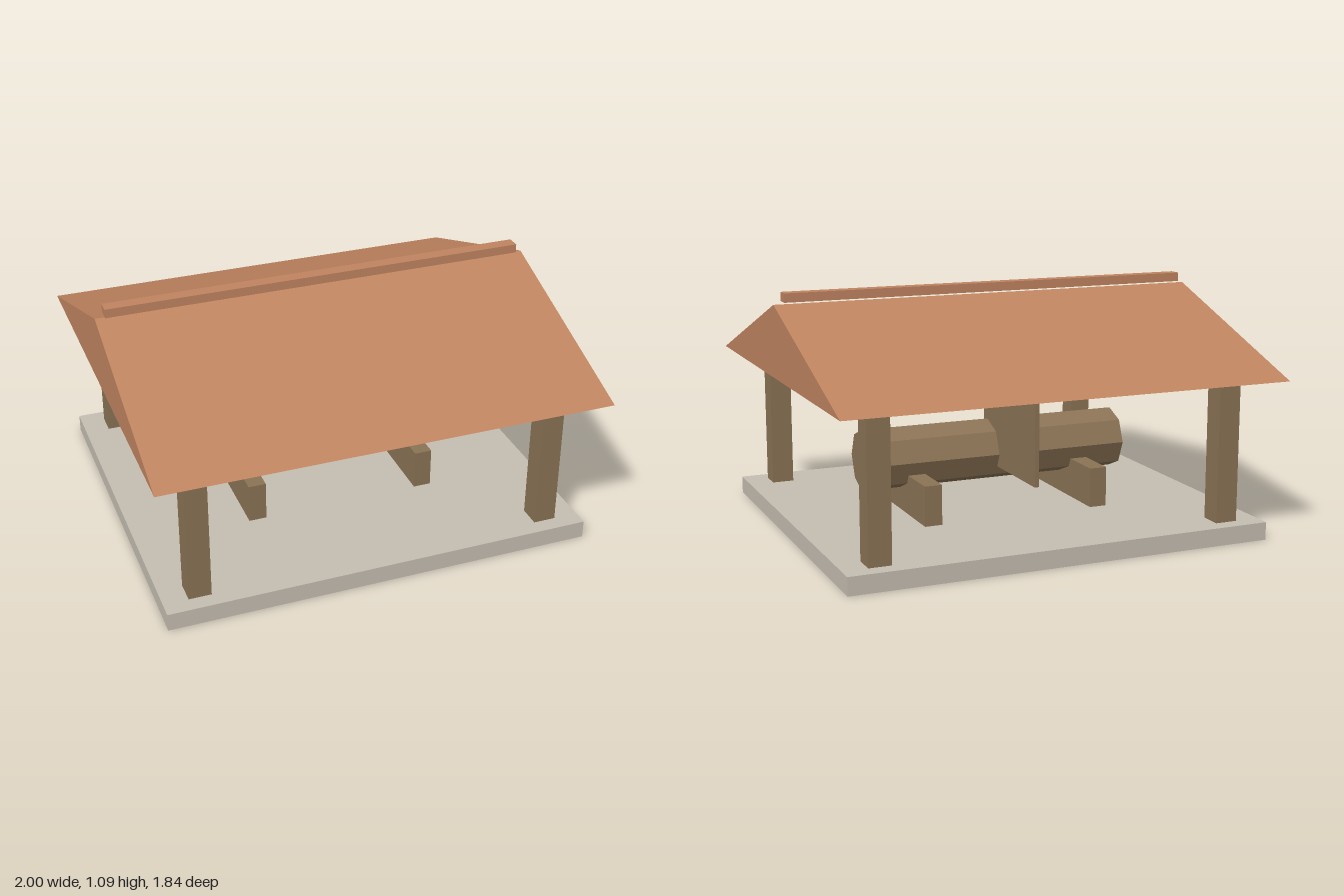
import * as THREE from 'three';

export function createModel() {
  const model = new THREE.Group();
  model.name = 'logShelter';

  const stone = new THREE.MeshStandardMaterial({ name: 'paleStone', color: 0xc5beb2, flatShading: true });
  const wood = new THREE.MeshStandardMaterial({ name: 'brownWood', color: 0x8b7355, flatShading: true });
  const tile = new THREE.MeshStandardMaterial({
    name: 'terracotta', color: 0xc08460, flatShading: true, side: THREE.DoubleSide,
  });

  const add = (name, geometry, material, x = 0, y = 0, z = 0) => {
    const mesh = new THREE.Mesh(geometry, material);
    mesh.name = name;
    mesh.position.set(x, y, z);
    model.add(mesh);
    return mesh;
  };
  const box = (name, material, w, h, d, x, bottom, z) =>
    add(name, new THREE.BoxGeometry(w, h, d), material, x, bottom + h / 2, z);

  // Floor slab
  box('floorSlab', stone, 1.92, 0.08, 1.68, 0, 0, 0);

  // Corner posts, running through the slab
  for (const x of [-0.8, 0.8]) {
    for (const z of [-0.72, 0.72]) box('cornerPost', wood, 0.1, 0.72, 0.1, x, 0, z);
  }

  // Eight-sided log lying along x, an edge pointing straight up
  const log = new THREE.CylinderGeometry(0.14, 0.14, 1.24, 8);
  log.rotateZ(Math.PI / 2);
  add('log', log, wood, 0, 0.32, 0);

  // Bearers under the log
  for (const x of [-0.4, 0.4]) box('logBearer', wood, 0.08, 0.18, 0.64, x, 0.08, 0);

  // Thin upright board set into the log, reaching backwards
  box('uprightBoard', wood, 0.02, 0.44, 0.56, 0, 0.26, -0.24);

  // Thin roof shell: two slopes and two gables, open underneath
  const roof = new THREE.BufferGeometry();
  roof.setAttribute('position', new THREE.Float32BufferAttribute([
    -1, 0.72, 0.92, 1, 0.72, 0.92,
    -1, 1.04, 0, 1, 1.04, 0,
    -1, 0.72, -0.92, 1, 0.72, -0.92,
  ], 3));
  roof.setIndex([
    0, 1, 3, 0, 3, 2, // front slope
    5, 4, 2, 5, 2, 3, // back slope
    1, 5, 3, 4, 0, 2, // gables
  ]);
  const roofShell = roof.toNonIndexed();
  roofShell.computeVertexNormals();
  add('roof', roofShell, tile);

  // Ridge beam floating just above the roof peak
  box('ridgeCap', tile, 1.92, 0.04, 0.06, 0, 1.05, 0);

  return model;
}
